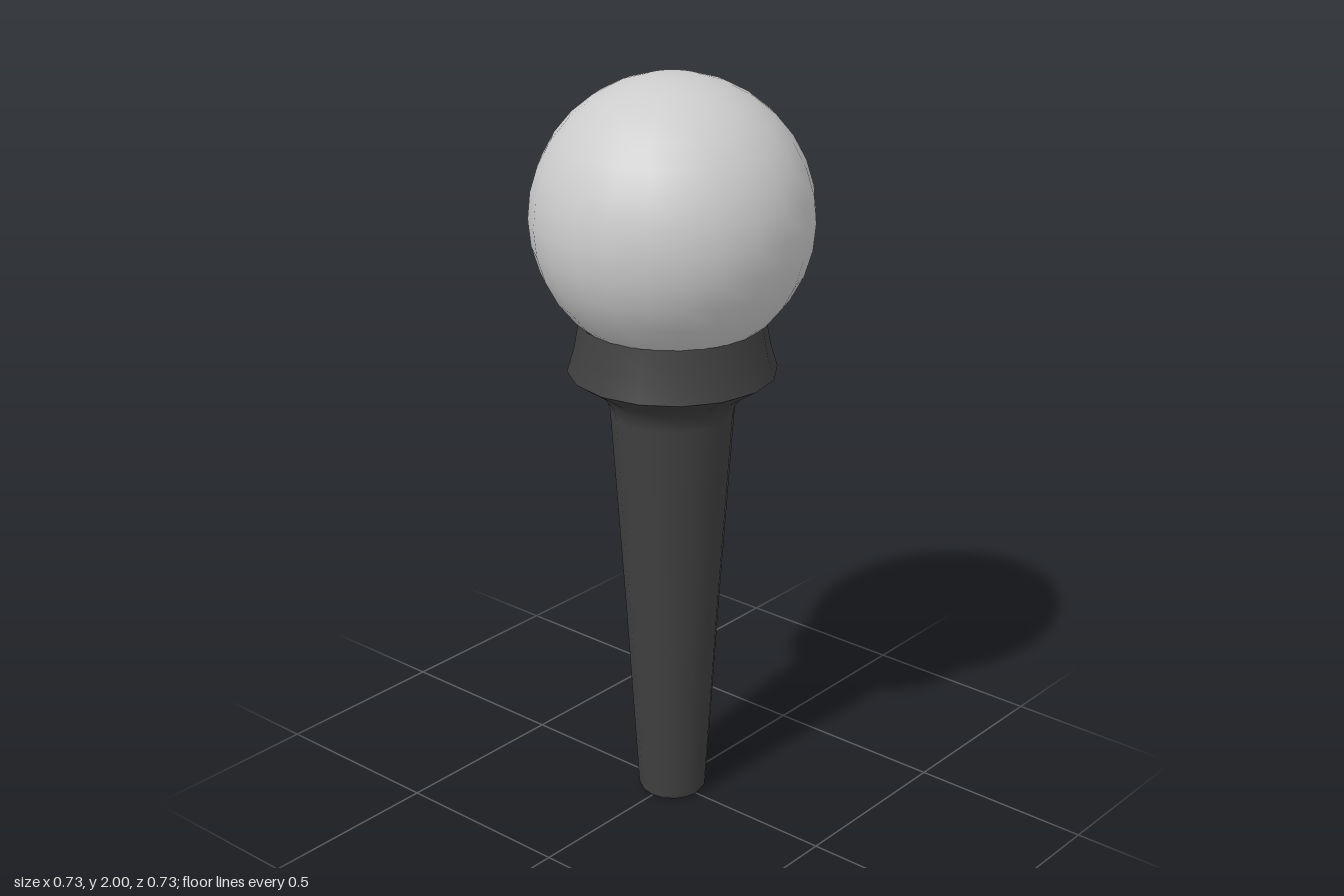
import * as THREE from 'three';

export function createModel() {
  const group = new THREE.Group();
  const dark = new THREE.MeshStandardMaterial({ color: 0x404040 });
  dark.name = 'darkGrip';
  const light = new THREE.MeshStandardMaterial({ color: 0xcccccc });
  light.name = 'lightGrille';

  const add = (name, geometry, material) => {
    const mesh = new THREE.Mesh(geometry, material);
    mesh.name = name;
    group.add(mesh);
    return mesh;
  };
  // Turned part with 16 sides, profile given as [radius, height] from bottom to top
  const turned = (profile) =>
    new THREE.LatheGeometry(profile.map(([r, y]) => new THREE.Vector2(r, y)), 16);

  // Flat bottom of the handle
  const bottom = add('handleBottom', new THREE.CircleGeometry(0.085, 16), dark);
  bottom.rotation.x = Math.PI / 2;

  // Tapered handle flaring out smoothly under the collar
  add('handle', turned([
    [0.085, 0], [0.092, 0.012], [0.125, 0.56], [0.162, 1.115],
    [0.168, 1.145], [0.19, 1.175], [0.272, 1.23],
  ]), dark);

  // Collar narrowing up to the ball
  add('collar', turned([[0.272, 1.23], [0.254, 1.29], [0.24, 1.365]]), dark);

  // Round grille head
  const head = add('grilleHead', new THREE.SphereGeometry(0.363, 24, 16), light);
  head.position.y = 1.637;

  return group;
}
